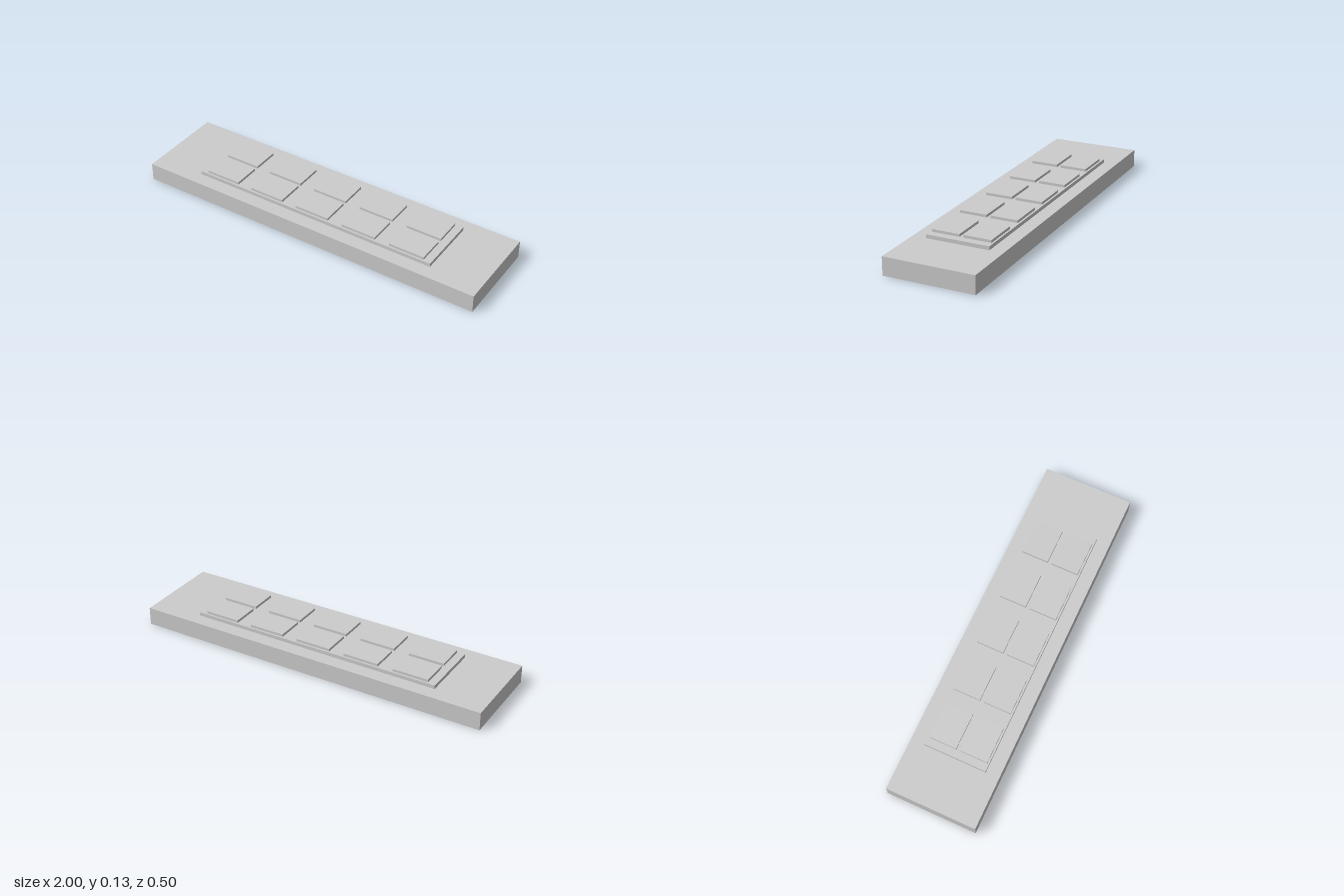
import * as THREE from 'three';

export function createModel() {
  const model = new THREE.Group();
  model.name = 'keypadBar';
  const material = new THREE.MeshStandardMaterial({ color: 0xcccccc });

  // Box resting on a given height
  function slab(name, width, height, depth, x, bottom, z) {
    const mesh = new THREE.Mesh(new THREE.BoxGeometry(width, height, depth), material);
    mesh.name = name;
    mesh.position.set(x, bottom + height / 2, z);
    model.add(mesh);
  }

  // Base block and the raised panel on it
  slab('base', 2, 0.1, 0.5, 0, 0, 0);
  slab('panel', 1.428, 0.02, 0.348, 0, 0.1, 0);

  // Two rows of five raised keys
  for (let row = 0; row < 2; row++) {
    for (let column = 0; column < 5; column++) {
      slab(`key_${row + 1}_${column + 1}`, 0.2, 0.0143, 0.152,
        (column - 2) * 0.2857, 0.12, (row - 0.5) * 0.175);
    }
  }
  return model;
}
